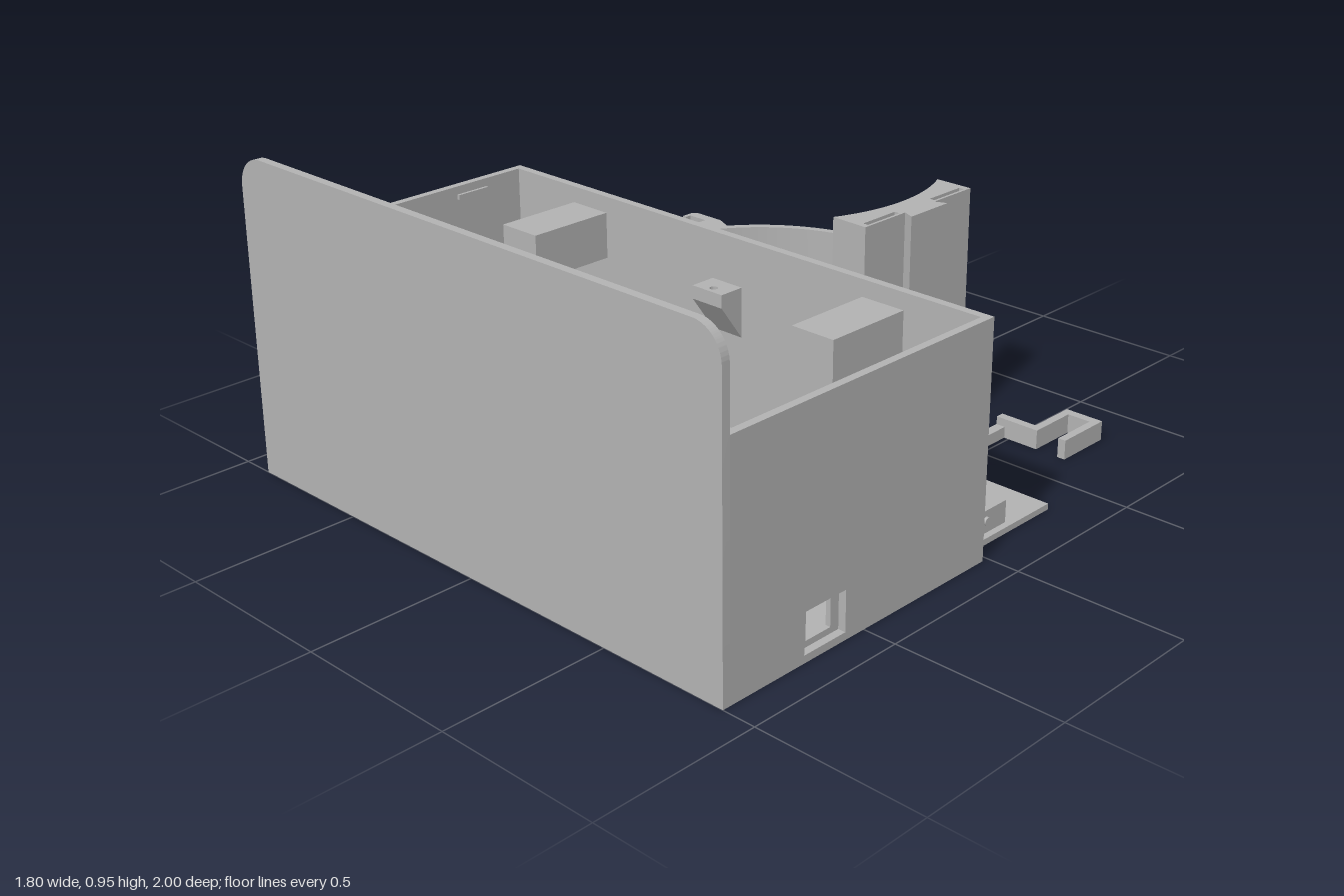
import * as THREE from 'three';
import { toCreasedNormals } from 'three/addons/utils/BufferGeometryUtils.js';

export function createModel() {
  const model = new THREE.Group();
  const grey = new THREE.MeshStandardMaterial({ color: 0xb2b2b2, side: THREE.DoubleSide });
  grey.name = 'plain grey';
  const rad = THREE.MathUtils.degToRad;

  function add(name, geo) {
    const mesh = new THREE.Mesh(geo, grey);
    mesh.name = name;
    model.add(mesh);
    return mesh;
  }
  // Box given by its limits on each axis
  function box(name, x0, x1, y0, y1, z0, z1) {
    const g = new THREE.BoxGeometry(x1 - x0, y1 - y0, z1 - z0);
    g.translate((x0 + x1) / 2, (y0 + y1) / 2, (z0 + z1) / 2);
    return add(name, g);
  }
  const poly = pts => new THREE.Shape(pts.map(p => new THREE.Vector2(p[0], p[1])));
  const rect = (a0, a1, b0, b1) => poly([[a0, b0], [a1, b0], [a1, b1], [a0, b1]]);
  function extrude(shape, depth) {
    const g = new THREE.ExtrudeGeometry(shape, { depth, bevelEnabled: false, curveSegments: 40 });
    return toCreasedNormals(g, 0.5);
  }
  // Plan shape drawn in (x, -z), raised from y0 to y1
  const plan = (name, shape, y0, y1) => add(name, extrude(shape, y1 - y0).rotateX(-Math.PI / 2).translate(0, y0, 0));
  // Front shape drawn in (x, y), running from z0 to z1
  const front = (name, shape, z0, z1) => add(name, extrude(shape, z1 - z0).translate(0, 0, z0));
  // Side shape drawn in (-z, y), running from x0 to x1
  const side = (name, shape, x0, x1) => add(name, extrude(shape, x1 - x0).rotateY(Math.PI / 2).translate(x0, 0, 0));

  // ---- Case ----
  const plate = new THREE.Shape();
  plate.moveTo(-0.9, 0);
  plate.lineTo(0.9, 0);
  plate.lineTo(0.9, 0.86);
  plate.absarc(0.81, 0.86, 0.09, 0, Math.PI / 2);
  plate.absarc(-0.81, 0.86, 0.09, Math.PI / 2, Math.PI);
  front('frontPlate', plate, 0.975, 1);
  box('caseFloor', -0.9, 0.9, 0, 0.022, 0.02, 0.975);
  box('rightWall', -0.9, -0.877, 0, 0.69, 0.02, 0.975);

  const socketWall = rect(-0.975, -0.02, 0, 0.69);
  socketWall.holes.push(rect(-0.72, -0.57, 0.022, 0.14));
  side('leftWall', socketWall, 0.877, 0.9);
  const socket = rect(-0.725, -0.565, 0.02, 0.145);
  socket.holes.push(rect(-0.69, -0.6, 0.04, 0.135));
  side('socketFrame', socket, 0.862, 0.877);

  // Back wall with two latch pockets
  const backWall = rect(-0.9, 0.9, 0, 0.69);
  for (const s of [-1, 1]) {
    const c = s * 0.56;
    backWall.holes.push(rect(c - 0.05, c + 0.05, 0.53, 0.61));
    const pocket = rect(c - 0.07, c + 0.07, 0.5, 0.64);
    pocket.holes.push(rect(c - 0.05, c + 0.05, 0.53, 0.61));
    front('latchPocket', pocket, 0.045, 0.3);
    box('latchPocketEnd', c - 0.07, c + 0.07, 0.5, 0.64, 0.3, 0.32);
    box('frontSnapRidge', s * 0.47 - 0.058, s * 0.47 + 0.058, 0.68, 0.695, 0.964, 0.975);
    for (const z of [0.23, 0.66])
      box('sideSnapRidge', s * 0.873 - 0.005, s * 0.873 + 0.005, 0.65, 0.665, z - 0.055, z + 0.055);
  }
  front('backWall', backWall, 0.02, 0.045);

  // Corner post and walled compartment
  box('cornerPost', 0.805, 0.877, 0, 0.66, 0.9, 0.975);
  box('compartmentBack', -0.825, -0.28, 0, 0.635, 0.67, 0.692);
  for (const x of [-0.825, -0.302]) box('compartmentSide', x, x + 0.022, 0, 0.635, 0.692, 0.975);

  // Screw brackets with sloped undersides
  for (const [z0, z1, slope, hz] of [[0.045, 0.125, -1, 0.1], [0.4, 0.47, 1, 0.425]]) {
    const top = rect(-0.057, 0.055, -z1, -z0);
    top.holes.push(new THREE.Path().absarc(0, -hz, 0.012, 0, Math.PI * 2));
    plan('screwBracketTop', top, 0.51, 0.55);
    const tip = slope > 0 ? -z1 : -z0;
    side('screwBracketWedge', poly([[-z1, 0.51], [-z0, 0.51], [tip, 0.4]]), -0.057, 0.055);
  }
  box('bracketPost', -0.057, 0.055, 0.02, 0.51, 0.455, 0.47);
  box('floorStrip', -0.057, 0.055, 0.02, 0.04, 0.125, 0.455);

  // Circuit board rails and pegs
  for (const z of [0.568, 0.71]) box('boardRail', 0.23, 0.73, 0.02, 0.08, z - 0.01, z + 0.01);
  box('boardStop', 0.17, 0.23, 0.02, 0.1, 0.595, 0.69);
  for (const x of [0.295, 0.753]) for (const z of [0.457, 0.822])
    box('boardPeg', x - 0.023, x + 0.023, 0.02, 0.07, z - 0.014, z + 0.014);

  // ---- Open ring clamp ----
  const CX = -0.27, CY = 0.385, R0 = 0.535, R1 = 0.56;
  function arc(name, a0, a1, r0, r1, y0, y1) {
    const s = new THREE.Shape();
    s.absarc(CX, CY, r1, rad(a0), rad(a1), false);
    s.absarc(CX, CY, r0, rad(a1), rad(a0), true);
    return plan(name, s, y0, y1);
  }
  // Windows: start angle, end angle, bottom, top
  const windows = [[-33.8, -30.5, 0.08, 0.31], [173.8, 176, 0.06, 0.21], [180.5, 182.7, 0.06, 0.21], [187, 189.2, 0.06, 0.21]];
  let from = -35.5;
  for (const [a0, a1, y0, y1] of windows) {
    arc('ringWall', from, a0, R0, R1, 0, 0.35);
    arc('ringBelowSlot', a0, a1, R0, R1, 0, y0);
    arc('ringAboveSlot', a0, a1, R0, R1, y1, 0.35);
    from = a1;
  }
  arc('ringWall', from, 215.5, R0, R1, 0, 0.35);
  for (const x of [-0.73, 0.185]) {
    const bead = new THREE.CylinderGeometry(0.025, 0.025, 0.35, 24);
    add('ringEndBead', bead.translate(x, 0.175, -0.062));
  }

  // Outer flange, sloped underneath
  const profile = [[0.55, 0.1], [0.615, 0.155], [0.615, 0.19], [0.55, 0.19]];
  const lathe = new THREE.LatheGeometry(profile.map(p => new THREE.Vector2(...p)), 48, rad(115), rad(121));
  add('ringFlange', toCreasedNormals(lathe, 0.5).translate(CX, 0, -CY));
  for (const a of [25, 146])
    add('flangeEnd', new THREE.ShapeGeometry(poly(profile)).rotateY(rad(a)).translate(CX, 0, -CY));

  // Open-topped pocket on the ring
  box('pocketBase', -0.9, -0.8, 0, 0.03, -0.735, -0.26);
  plan('pocketRearPost', poly([[-0.9, 0.7], [-0.9, 0.72], [-0.885, 0.735], [-0.78, 0.735], [-0.715, 0.705], [-0.74, 0.68], [-0.815, 0.7]]), 0, 0.35);
  box('pocketFrontPost', -0.9, -0.81, 0, 0.35, -0.29, -0.26);
  for (const z of [-0.72, -0.31]) box('pocketLip', -0.9, -0.886, 0, 0.35, z, z + 0.04);
  plan('pocketBackFill', poly([[-0.817, 0.7], [-0.735, 0.7], [-0.8, 0.5], [-0.817, 0.5]]), 0, 0.35);

  // Tall mount with dovetail and two spring slots
  const mount = new THREE.Shape();
  const half = Math.asin(0.23 / R0);
  mount.moveTo(0.333, 0.15);
  for (const p of [[0.333, 0.32], [0.368, 0.305], [0.368, 0.465], [0.333, 0.45], [0.333, 0.615]]) mount.lineTo(...p);
  mount.absarc(CX, CY, R0, half, -half, true);
  for (const y of [0.17, 0.46]) mount.holes.push(rect(0.308, 0.325, y, y + 0.135));
  plan('tallMount', mount, 0, 0.745);
  for (const z of [-0.24, -0.52])
    add('mountKnob', new THREE.SphereGeometry(0.02, 20, 14).translate(0.33, 0.062, z));

  // ---- Loose cover with block ----
  box('coverPlate', 0.41, 0.85, 0, 0.018, -0.34, -0.04);
  box('coverBlock', 0.65, 0.83, 0.018, 0.085, -0.17, -0.04);
  add('coverPin', new THREE.CylinderGeometry(0.012, 0.012, 0.01, 20).rotateZ(Math.PI / 2).translate(0.833, 0.055, -0.083));

  // ---- Loose hook ----
  plan('hookClip', poly([[0.455, 0.63], [0.6, 0.63], [0.6, 0.787], [0.675, 0.787], [0.675, 0.63], [0.7, 0.63],
    [0.7, 0.815], [0.575, 0.815], [0.575, 0.657], [0.455, 0.657]]), 0, 0.06);
  box('hookStem', 0.455, 0.485, 0, 0.035, -0.635, -0.5);
  const curl = new THREE.Shape();
  curl.absarc(0.473, 0.45, 0.062, rad(-190), rad(80), false);
  curl.absarc(0.473, 0.45, 0.036, rad(80), rad(-190), true);
  plan('hookCurl', curl, 0, 0.035);

  return model;
}
